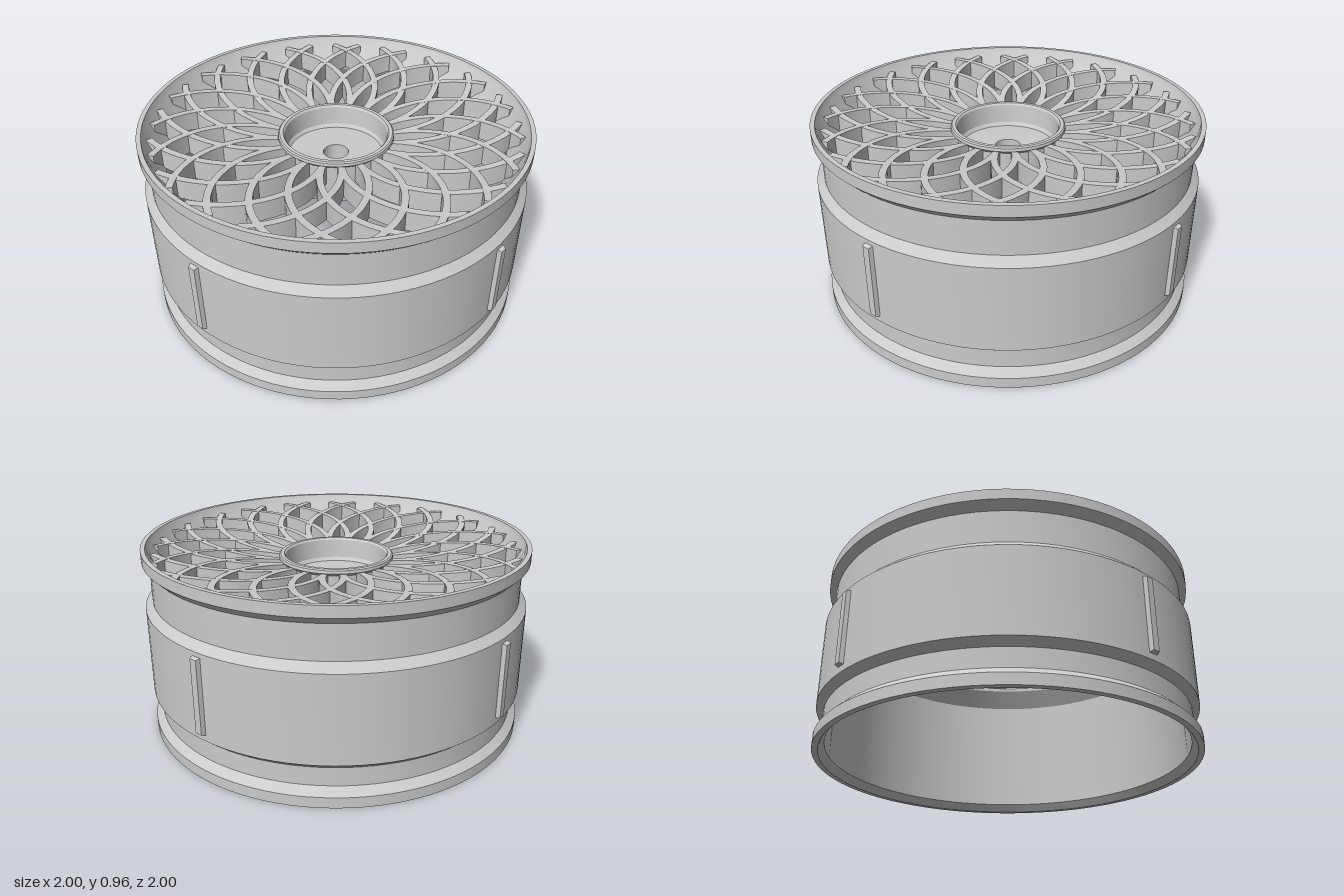
import * as THREE from 'three';
import { toCreasedNormals } from 'three/addons/utils/BufferGeometryUtils.js';

const material = new THREE.MeshStandardMaterial({ color: 0xcccccc });

function part(name, geometry, parent, crease = 0.4) {
  const mesh = new THREE.Mesh(toCreasedNormals(geometry, crease), material);
  mesh.name = name;
  parent.add(mesh);
  return mesh;
}

// Closed ring turned around y; profile runs up the outside, down the inside
function turned(profile, segments) {
  const points = profile.map(([r, y]) => new THREE.Vector2(r, y));
  points.push(points[0].clone());
  return new THREE.LatheGeometry(points, segments);
}

// Curved spoke: leaves the hub radially and bends sideways along a circular arc
const HUB_R = 0.28, RIM_R = 0.925, WIDTH = 0.034, DEPTH = 0.1;
function spokeGeometry(side) {
  // arc radius chosen so mirrored spokes meet in pointed tips near the rim
  const tip = 0.87, sweep = THREE.MathUtils.degToRad(27);
  const tx = tip * Math.sin(sweep), tz = tip * Math.cos(sweep) - HUB_R;
  const R = (tx * tx + tz * tz) / (2 * tx);
  const radiusAt = (a) => Math.hypot(R * Math.cos(a) - R, HUB_R + R * Math.sin(a));
  let end = 0;
  while (radiusAt(end) < RIM_R) end += 0.005;

  const geometry = new THREE.BoxGeometry(1, 1, 1, 20, 1, 1);
  const pos = geometry.attributes.position;
  for (let i = 0; i < pos.count; i++) {
    const a = THREE.MathUtils.lerp(-0.02, end, pos.getX(i) + 0.5);
    const r = R - side * pos.getZ(i) * WIDTH;
    const t = (radiusAt(a) - HUB_R) / (RIM_R - HUB_R);
    const top = 0.85 + 0.07 * t;
    pos.setXYZ(
      i,
      side * (r * Math.cos(a) - R),
      top + (pos.getY(i) - 0.5) * DEPTH,
      HUB_R + r * Math.sin(a)
    );
  }
  return geometry;
}

// Bevelled block: the outer face is smaller than the base
function blockGeometry() {
  const geometry = new THREE.BoxGeometry(0.072, 0.41, 0.06);
  const pos = geometry.attributes.position;
  for (let i = 0; i < pos.count; i++) {
    if (pos.getZ(i) > 0) {
      pos.setX(i, pos.getX(i) * 0.52);
      pos.setY(i, pos.getY(i) * 0.91);
    }
  }
  return geometry;
}

export function createModel() {
  const wheel = new THREE.Group();
  wheel.name = 'wheel';

  // Barrel with flanges, bead seats and a tapered inner seat for the spokes
  part('rim', turned([
    [0.95, 0], [0.98, 0], [0.98, 0.055], [0.943, 0.092], [0.943, 0.187],
    [0.98, 0.22], [0.98, 0.66], [0.943, 0.7], [0.943, 0.868], [0.98, 0.905],
    [0.98, 0.96], [0.957, 0.96], [0.946, 0.93], [0.86, 0.81], [0.86, 0.79],
    [0.922, 0.69], [0.922, 0.04],
  ], 96), wheel);

  // Dished hub with a centre bore
  part('hub', turned([
    [0.065, 0.64], [0.28, 0.64], [0.28, 0.84], [0.295, 0.855], [0.293, 0.87],
    [0.286, 0.876], [0.268, 0.876], [0.26, 0.866], [0.252, 0.77],
    [0.24, 0.752], [0.065, 0.752],
  ], 64), wheel);

  // Two mirrored families of curved spokes woven into a petal lattice
  const spokes = new THREE.Group();
  spokes.name = 'spokes';
  wheel.add(spokes);
  const COUNT = 20;
  for (const side of [1, -1]) {
    const geometry = spokeGeometry(side);
    for (let i = 0; i < COUNT; i++) {
      const spoke = part(side > 0 ? 'rightSweptSpoke' : 'leftSweptSpoke', geometry, spokes);
      spoke.rotation.y = ((i + 0.5) * 2 * Math.PI) / COUNT;
    }
  }

  // Four raised blocks around the barrel
  for (let i = 0; i < 4; i++) {
    const holder = new THREE.Group();
    holder.name = 'barrelBlock';
    holder.rotation.y = (i * Math.PI) / 2;
    part('block', blockGeometry(), holder).position.set(0, 0.445, 0.97);
    wheel.add(holder);
  }

  return wheel;
}
